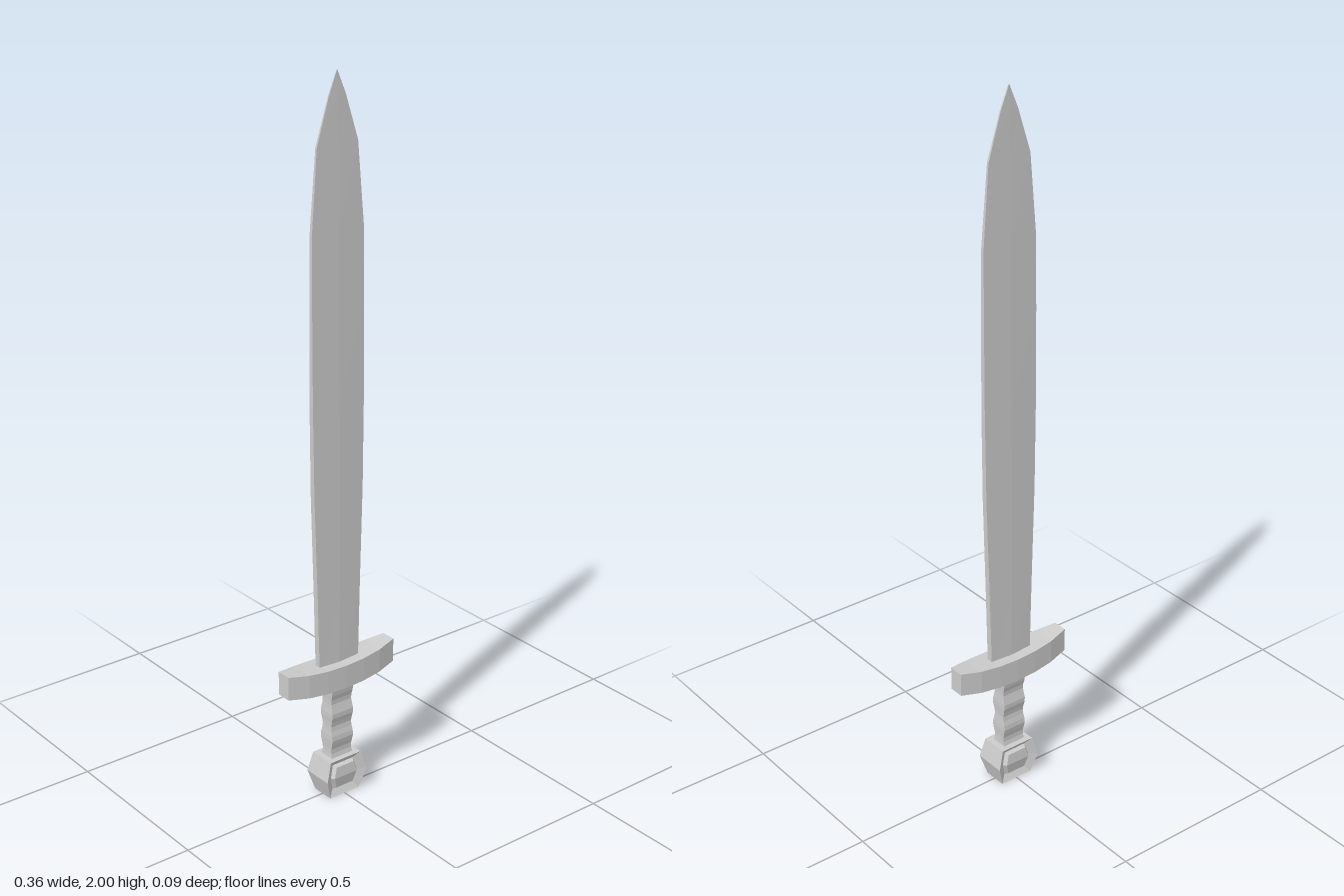
import * as THREE from 'three';

const material = new THREE.MeshStandardMaterial({ color: 0xcccccc, flatShading: true });

// Flat-shaded skin over rings of [x, y, z] points, counter-clockwise seen from the last ring's end.
function loft(name, rings) {
  const n = rings[0].length;
  const index = [];
  for (let r = 0; r < rings.length - 1; r++) {
    for (let i = 0; i < n; i++) {
      const a = r * n + i, b = r * n + (i + 1) % n;
      index.push(a, b, b + n, a, b + n, a + n);
    }
  }
  const last = (rings.length - 1) * n;
  for (let i = 1; i < n - 1; i++) {
    index.push(0, i + 1, i, last, last + i, last + i + 1);
  }
  const indexed = new THREE.BufferGeometry();
  indexed.setAttribute('position', new THREE.Float32BufferAttribute(rings.flat(2), 3));
  indexed.setIndex(index);
  const geometry = indexed.toNonIndexed();
  geometry.computeVertexNormals();
  const mesh = new THREE.Mesh(geometry, material);
  mesh.name = name;
  return mesh;
}

// Blade: height, half width, half thickness; slightly thicker along the middle
function createBlade() {
  const sections = [
    [0.36, 0.065, 0.012], [0.6, 0.071, 0.0115], [0.9, 0.08, 0.0105], [1.15, 0.083, 0.0095],
    [1.4, 0.083, 0.008], [1.6, 0.082, 0.0065], [1.82, 0.064, 0.004], [1.94, 0.026, 0.0025], [2, 0.001, 0.001],
  ];
  return loft('blade', sections.map(([y, w, c]) => {
    const t = c * 0.75;
    return [[0, y, c], [w, y, t], [w, y, -t], [0, y, -c], [-w, y, -t], [-w, y, t]];
  }));
}

// Crossguard: bows upward and narrows towards both ends
function createGuard() {
  const half = [[0.18, 0.0215], [0.12, 0.035], [0.06, 0.0405]];
  const sections = [
    ...half.map(([x, d]) => [-x, d]), [0, 0.042], ...half.slice().reverse(),
  ];
  return loft('crossguard', sections.map(([x, d]) => {
    const rise = 0.015 * (x / 0.18) ** 2;
    const lo = 0.332 + rise, hi = 0.4 + rise;
    return [[x, lo, -d], [x, hi, -d], [x, hi, d], [x, lo, d]];
  }));
}

// Grip: finger waves on the front and back
function createGrip() {
  const rings = [];
  const steps = 18;
  for (let i = 0; i <= steps; i++) {
    const y = 0.1 + 0.25 * i / steps;
    const wave = Math.cos((y - 0.172) / 0.075 * Math.PI * 2);
    const w = 0.035 + 0.001 * wave, d = 0.0225 + 0.0035 * wave;
    rings.push([[w, y, d], [w, y, -d], [-w, y, -d], [-w, y, d]]);
  }
  return loft('grip', rings);
}

// Pommel: six-sided block, each face a sunken frame around a raised panel
function createPommel() {
  const middle = 0.06;
  const outline = [[0.068, middle], [0.052, 0.115], [-0.052, 0.115], [-0.068, middle], [-0.05, 0], [0.05, 0]];
  const depth = (y) => 0.046 - (y > middle ? 0.12 : 0.2) * Math.abs(y - middle);
  const ring = (scale, sink, side) => outline.map(([x, y]) => {
    const py = middle + (y - middle) * scale;
    return [x * scale, py, side * (depth(py) - sink)];
  });
  const steps = [[0.56, 0.006], [0.66, 0.016], [0.92, 0.004], [1, 0]];
  return loft('pommel', [
    ...steps.map(([s, k]) => ring(s, k, -1)),
    ...steps.slice().reverse().map(([s, k]) => ring(s, k, 1)),
  ]);
}

export function createModel() {
  const model = new THREE.Group();
  model.name = 'sword';
  model.add(createBlade(), createGuard(), createGrip(), createPommel());
  return model;
}
